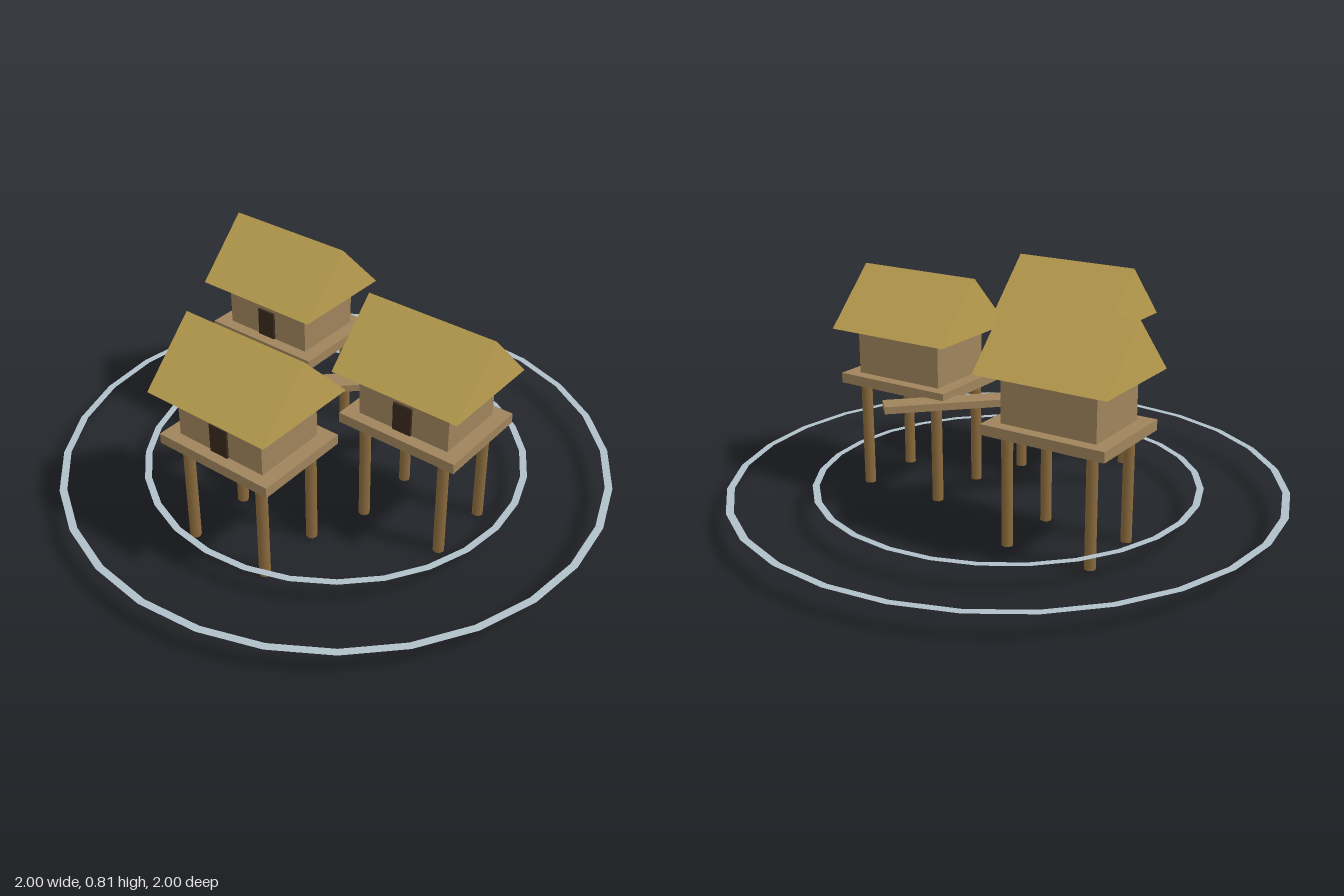
import * as THREE from 'three';

const mat = (name, color, side = THREE.FrontSide) => {
  const m = new THREE.MeshStandardMaterial({ color, side });
  m.name = name;
  return m;
};

export function createModel() {
  const wood = mat('plank wood', 0xa0845c);
  const thatch = mat('thatch', 0xbfa352);
  const postWood = mat('post wood', 0x8b6b3d);
  const doorWood = mat('dark door', 0x3a2a1e);
  const foam = mat('water ripple', 0xb0c0c8, THREE.DoubleSide);

  const model = new THREE.Group();
  model.name = 'stiltVillage';

  const add = (parent, name, geometry, material, x, y, z) => {
    const mesh = new THREE.Mesh(geometry, material);
    mesh.name = name;
    mesh.position.set(x, y, z);
    parent.add(mesh);
    return mesh;
  };

  // Shared house parts
  const deckGeo = new THREE.BoxGeometry(0.46, 0.037, 0.356);
  const wallGeo = new THREE.BoxGeometry(0.355, 0.175, 0.27);
  const doorGeo = new THREE.BoxGeometry(0.072, 0.105, 0.009);
  const postGeo = new THREE.CylinderGeometry(0.02, 0.02, 0.397, 8);

  // Gable prism with its ridge along x
  const gable = new THREE.Shape();
  gable.moveTo(-0.2, 0);
  gable.lineTo(0.2, 0);
  gable.lineTo(0, 0.207);
  gable.closePath();
  const roofGeo = new THREE.ExtrudeGeometry(gable, { depth: 0.49, bevelEnabled: false });
  roofGeo.translate(0, 0, -0.245).rotateY(Math.PI / 2);

  const addHouse = (name, x, z) => {
    const house = new THREE.Group();
    house.name = name;
    house.position.set(x, 0, z);
    add(house, 'deck', deckGeo, wood, 0, 0.414, 0);
    add(house, 'walls', wallGeo, wood, 0, 0.518, 0);
    add(house, 'door', doorGeo, doorWood, 0, 0.487, 0.139);
    add(house, 'roof', roofGeo, thatch, 0, 0.603, 0);
    for (const sx of [-1, 1]) {
      for (const sz of [-1, 1]) {
        add(house, 'stilt', postGeo, postWood, sx * 0.159, 0.1985, sz * 0.123);
      }
    }
    model.add(house);
  };
  addHouse('frontHouse', -0.003, 0.456);
  addHouse('leftHouse', 0.384, 0);
  addHouse('rightHouse', -0.355, -0.179);

  // Diagonal walkway between the houses
  const walkway = add(model, 'walkway', new THREE.BoxGeometry(0.88, 0.026, 0.08), wood, 0, 0.394, 0);
  walkway.rotation.y = Math.PI / 4;

  // Flat ripples on the water
  for (const [name, inner, outer] of [['innerRipple', 0.675, 0.7], ['outerRipple', 0.973, 1]]) {
    const ring = new THREE.RingGeometry(inner, outer, 28);
    ring.rotateX(-Math.PI / 2);
    add(model, name, ring, foam, 0, 0.09, 0);
  }

  return model;
}
